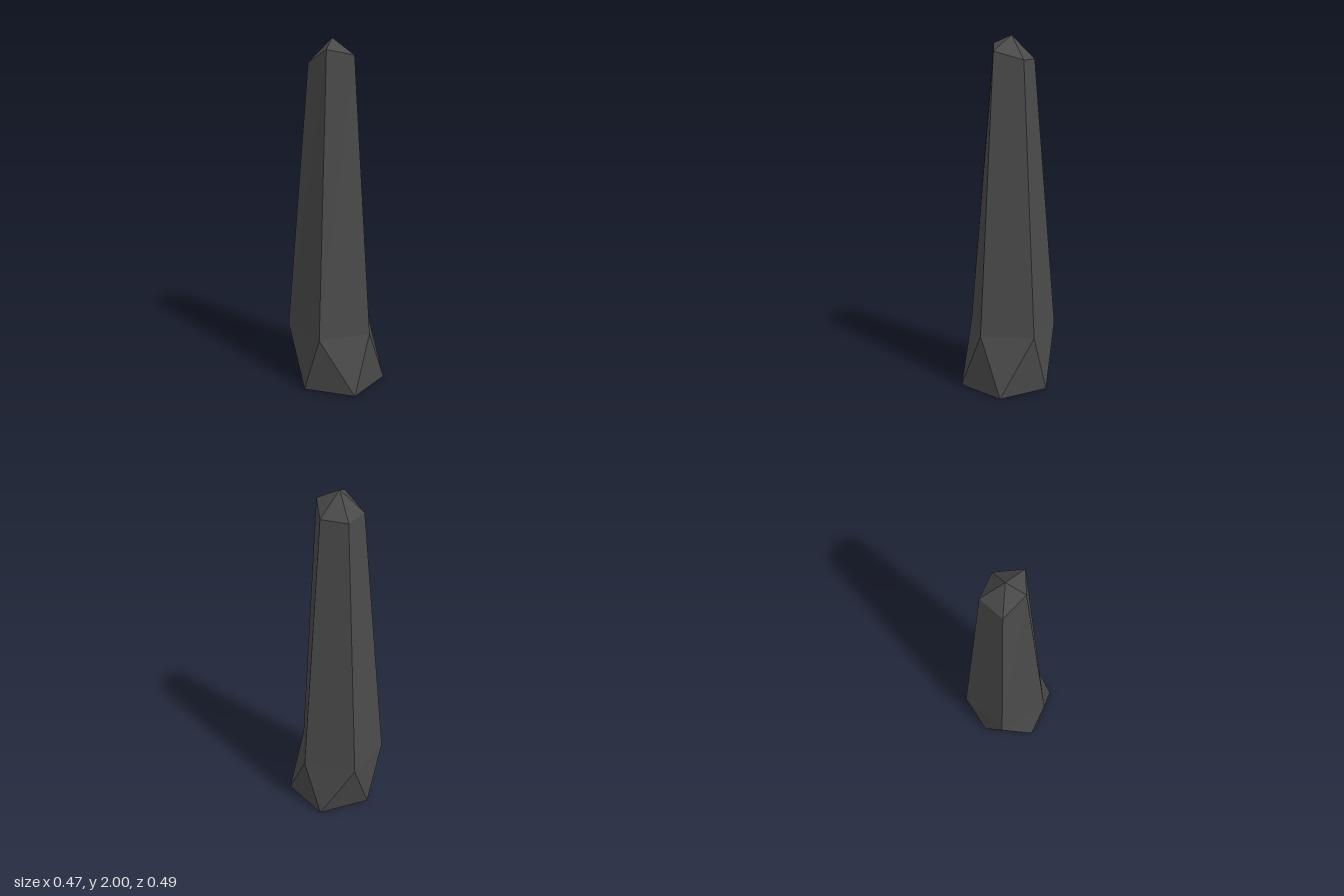
import * as THREE from 'three';

const SIDES = 5;

// Regular five-sided ring at height y, turned by a fraction of one side
function ring(centreX, y, radius, turn) {
  return Array.from({ length: SIDES }, (_, k) => {
    const a = ((k + turn) / SIDES) * Math.PI * 2;
    return new THREE.Vector3(centreX + radius * Math.cos(a), y, radius * Math.sin(a));
  });
}

export function createModel() {
  const group = new THREE.Group();
  group.name = 'crystalPillar';

  const base = ring(0.026, 0, 0.258, 0.5);
  const shoulder = ring(-0.026, 0.335, 0.258, 0);
  // Uneven, slanted rim below the tip
  const rim = [
    [0.118, 1.92, 0], [0.008, 1.953, 0.103], [-0.132, 1.868, 0.077],
    [-0.132, 1.868, -0.077], [0.012, 1.873, -0.124],
  ].map((p) => new THREE.Vector3(...p));
  const tip = new THREE.Vector3(-0.027, 2, 0);
  const baseCentre = new THREE.Vector3(0.026, 0, 0);

  const material = new THREE.MeshStandardMaterial({ color: 0x4a4a4a, flatShading: true });

  // One mesh from the triangles made for each side
  function addPart(name, trianglesOfSide) {
    const points = [];
    for (let k = 0; k < SIDES; k++) points.push(...trianglesOfSide(k, (k + 1) % SIDES));
    const geometry = new THREE.BufferGeometry().setFromPoints(points);
    geometry.computeVertexNormals();
    const mesh = new THREE.Mesh(geometry, material);
    mesh.name = name;
    group.add(mesh);
  }

  // Faceted foot: zigzag of triangles, closed underneath
  addPart('foot', (k, n) => [
    shoulder[k], shoulder[n], base[k],
    base[k], shoulder[n], base[n],
    base[k], base[n], baseCentre,
  ]);

  // Long tapering shaft
  addPart('shaft', (k, n) => [
    shoulder[k], rim[k], shoulder[n],
    rim[k], rim[n], shoulder[n],
  ]);

  // Pointed tip
  addPart('tip', (k, n) => [rim[k], tip, rim[n]]);

  return group;
}
